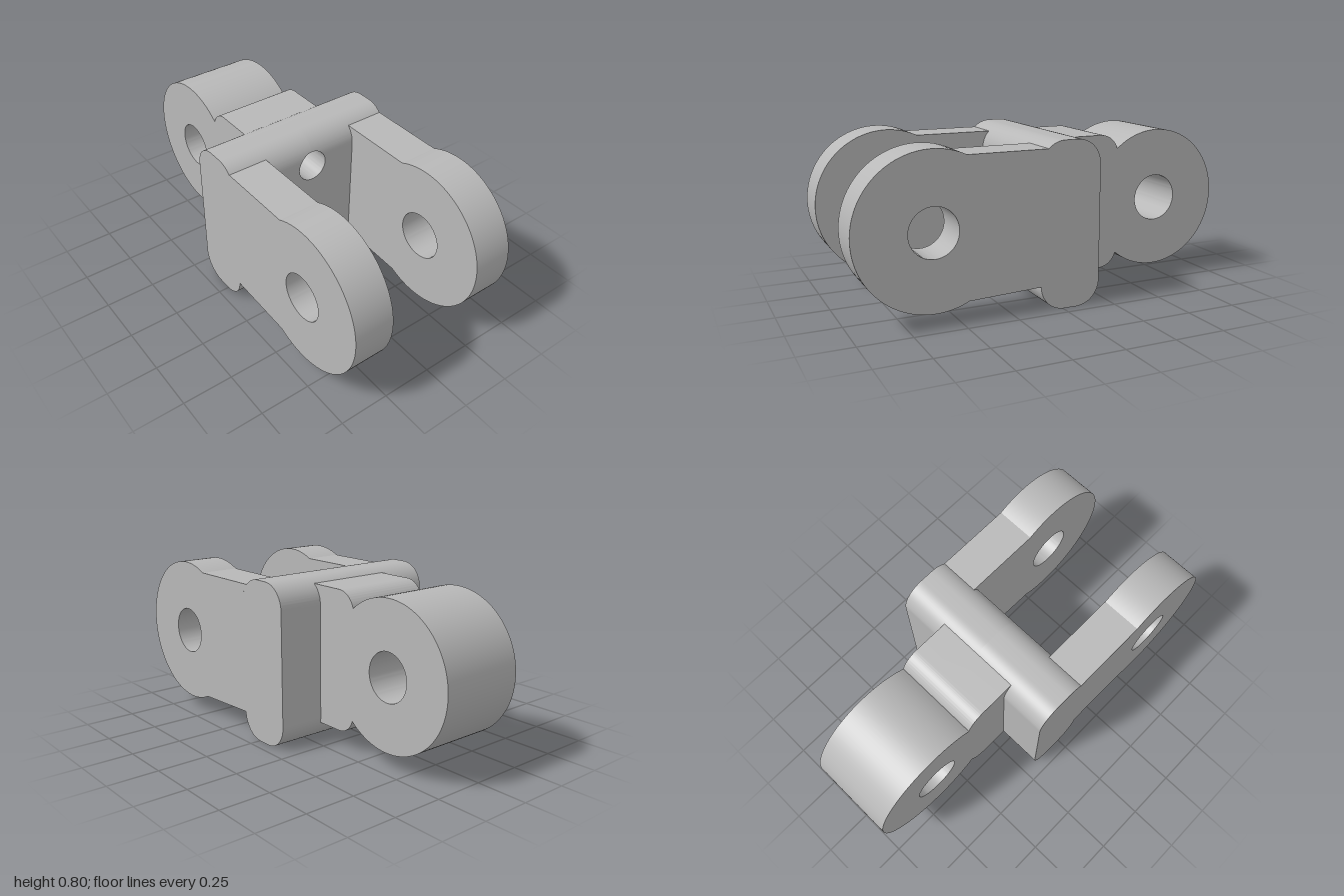
import * as THREE from 'three';
import { toCreasedNormals } from 'three/addons/utils/BufferGeometryUtils.js';

const CREASE = 0.35;
const MID_Y = 0.435;          // height of the pin axis
const PIN_R = 0.117;
const HALF_W = 0.446;         // half width of the cross block
const BLOCK = { left: -0.19, right: 0.115, top: 0.8, r: 0.12 };
const BOLTS = [0.15, 0.646];  // heights of the bolt holes
const BOLT_R = 0.077;

// Extrude an outline from z0 to z1 with a pin hole
function plate(shape, pinX, z0, z1) {
  const hole = new THREE.Path();
  hole.absarc(pinX, MID_Y, PIN_R, 0, Math.PI * 2, true);
  shape.holes.push(hole);
  const geo = new THREE.ExtrudeGeometry(shape, { depth: z1 - z0, bevelEnabled: false, curveSegments: 40 });
  geo.translate(0, 0, z0);
  return toCreasedNormals(geo, CREASE);
}

// Fork arm: straight shank meeting the block's rounded edge, then a round eye
function armShape() {
  const cx = 0.63, r = 0.366, lo = 0.105, hi = 0.765;
  const a = Math.asin((hi - MID_Y) / r);
  const bx = BLOCK.right - BLOCK.r, by = BLOCK.top - BLOCK.r;
  const s = new THREE.Shape();
  s.moveTo(0.114, lo);
  s.absarc(cx, MID_Y, r, -Math.PI + a, Math.PI - a, false);
  s.absarc(bx, by, BLOCK.r, Math.asin((hi - by) / BLOCK.r), 0, true);
  s.lineTo(BLOCK.right, BLOCK.r);
  return s;
}

// Tongue: round eye, notch, then a neck with rounded shoulders
function tongueShape() {
  const cx = -0.648, r = 0.352, lo = 0.095, hi = 0.775, f = 0.1, fx = -0.324;
  const a = Math.atan2(0.27, 0.228), b = Math.asin(0.3);
  const bx = BLOCK.left + BLOCK.r, by = BLOCK.top - BLOCK.r;
  const c = Math.asin((hi - by) / BLOCK.r), d = Math.asin((BLOCK.r - lo) / BLOCK.r);
  const s = new THREE.Shape();
  s.absarc(cx, MID_Y, r, a, Math.PI * 2 - a, false);
  s.absarc(fx, lo + f, f, Math.PI - b + 2 * b, Math.PI * 1.5, false);
  s.absarc(bx, BLOCK.r, BLOCK.r, Math.PI + d, Math.PI, true);
  s.absarc(bx, by, BLOCK.r, Math.PI, Math.PI - c, true);
  s.absarc(fx, hi - f, f, Math.PI / 2, Math.PI - b, false);
  return s;
}

// Half of the cross block: rectangles lofted upwards, cut back around the bolt holes
function blockHalf(side) {
  const { left, right, top, r } = BLOCK;
  let ys = [];
  for (let i = 0; i <= 16; i++) {
    const d = r * (1 - Math.cos(i / 16 * Math.PI / 2));
    ys.push(d, top - d);
  }
  for (const c of BOLTS)
    for (let i = 0; i <= 32; i++) ys.push(c - BOLT_R * Math.cos(i / 32 * Math.PI));
  ys = ys.sort((p, q) => p - q).filter((y, i, all) => i === 0 || y - all[i - 1] > 1e-5);

  const rings = ys.map((y) => {
    const d = Math.max(0, r - y, y - (top - r));
    const inset = r - Math.sqrt(Math.max(0, r * r - d * d));
    let h = 0;
    for (const c of BOLTS) h = Math.max(h, Math.sqrt(Math.max(0, BOLT_R ** 2 - (y - c) ** 2)));
    if (h < 1e-4) h = 0;
    const [z0, z1] = side > 0 ? [h, HALF_W] : [-HALF_W, -h];
    const x0 = left + inset, x1 = right - inset;
    return { h, p: [[x0, y, z0], [x1, y, z0], [x1, y, z1], [x0, y, z1]] };
  });

  const pos = [];
  const quad = (a, b, c, d) => pos.push(...a, ...b, ...c, ...a, ...c, ...d);
  const inner = side > 0 ? 0 : 2;
  for (let i = 0; i < rings.length - 1; i++) {
    const lo = rings[i], hi = rings[i + 1];
    for (let k = 0; k < 4; k++) {
      if (k === inner && lo.h === 0 && hi.h === 0) continue;
      const n = (k + 1) % 4;
      quad(lo.p[k], hi.p[k], hi.p[n], lo.p[n]);
    }
  }
  quad(...rings[0].p);
  quad(...[...rings[rings.length - 1].p].reverse());
  const geo = new THREE.BufferGeometry();
  geo.setAttribute('position', new THREE.Float32BufferAttribute(pos, 3));
  geo.computeVertexNormals();
  return toCreasedNormals(geo, CREASE);
}

export function createModel() {
  const model = new THREE.Group();
  model.name = 'clevisLink';
  const steel = new THREE.MeshStandardMaterial({ color: 0xb8b8b8 });
  steel.name = 'grey steel';
  const add = (name, geo) => {
    const mesh = new THREE.Mesh(geo, steel);
    mesh.name = name;
    model.add(mesh);
  };

  add('crossBlockFront', blockHalf(1));
  add('crossBlockBack', blockHalf(-1));
  add('forkArmFront', plate(armShape(), 0.63, 0.245, HALF_W));
  add('forkArmBack', plate(armShape(), 0.63, -HALF_W, -0.245));
  add('tongue', plate(tongueShape(), -0.648, -0.217, 0.217));
  return model;
}
